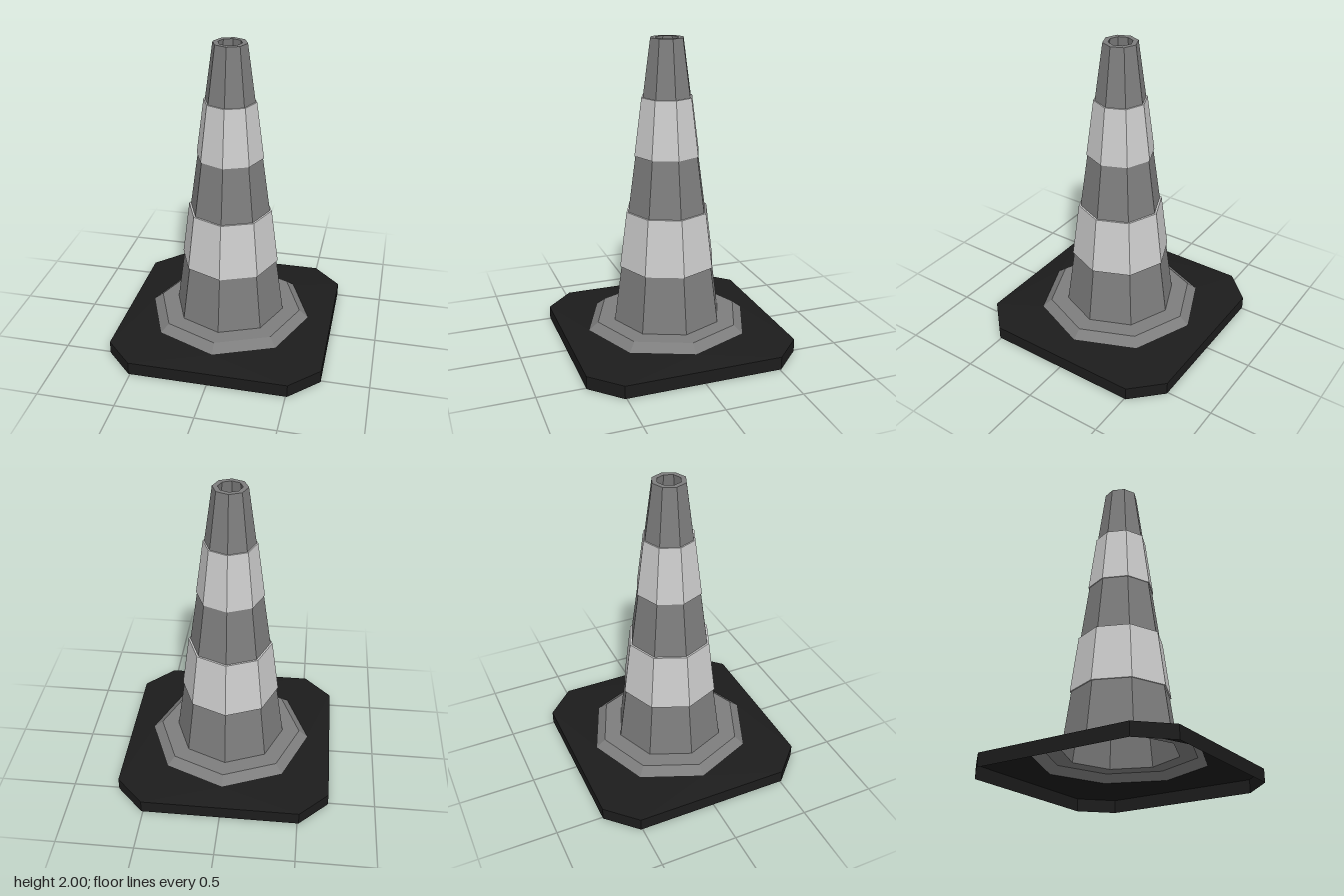
import * as THREE from 'three';
import { mergeGeometries } from 'three/addons/utils/BufferGeometryUtils.js';

const SIDES = 8;

function material(color) {
  return new THREE.MeshStandardMaterial({ color, flatShading: true, side: THREE.DoubleSide });
}

// Faceted eight-sided ring from [radius, height] pairs
function facetedLathe(name, profile, mat) {
  const points = profile.map(([r, y]) => new THREE.Vector2(r, y));
  const geometry = new THREE.LatheGeometry(points, SIDES).toNonIndexed();
  geometry.computeVertexNormals();
  const mesh = new THREE.Mesh(geometry, mat);
  mesh.name = name;
  return mesh;
}

// Hollow square foot with cut corners, rising to an octagonal opening
function footGeometry() {
  const half = 0.695, cut = 0.51, wall = 0.085, top = 0.12, r = 0.54;
  const d = r * Math.SQRT1_2;
  const a = [-cut, wall, half], b = [cut, wall, half], c = [half, wall, cut];
  const r0 = [0, top, r], r1 = [d, top, d], r2 = [r, top, 0];
  const low = ([x, , z]) => [x, 0, z];
  const triangles = [
    // side and cut corner
    low(a), low(b), b, low(a), b, a,
    low(b), low(c), c, low(b), c, b,
    // sloping top
    a, b, r0, b, r1, r0, b, c, r1, c, r2, r1,
  ];
  const quarter = new THREE.BufferGeometry();
  quarter.setAttribute('position', new THREE.Float32BufferAttribute(triangles.flat(), 3));
  quarter.computeVertexNormals();
  const quarters = [0, 1, 2, 3].map((i) => quarter.clone().rotateY(i * Math.PI / 2));
  return mergeGeometries(quarters);
}

export function createModel() {
  const group = new THREE.Group();
  group.name = 'trafficCone';
  const black = material(0x1c1c1c);
  const grey = material(0x7d7d7d);
  const light = material(0xcccccc);

  const foot = new THREE.Mesh(footGeometry(), black);
  foot.name = 'foot';
  group.add(foot);

  // Flange, outer cone, top rim and inner wall
  group.add(facetedLathe('coneBody', [
    [0.54, 0.12], [0.48, 0.168], [0.365, 0.168],
    [0.108, 2], [0.075, 2], [0.365, 0.168],
  ], grey));

  // Raised bands, with small ledges back to the cone
  const bands = [
    ['lowerBand', 0.54, 0.322, 0.905, 0.274],
    ['upperBand', 1.27, 0.217, 1.637, 0.168],
  ];
  for (const [name, y0, r0, y1, r1] of bands) {
    group.add(facetedLathe(name, [
      [r0 - 0.02, y0], [r0, y0], [r1, y1], [r1 - 0.02, y1],
    ], light));
  }
  return group;
}
